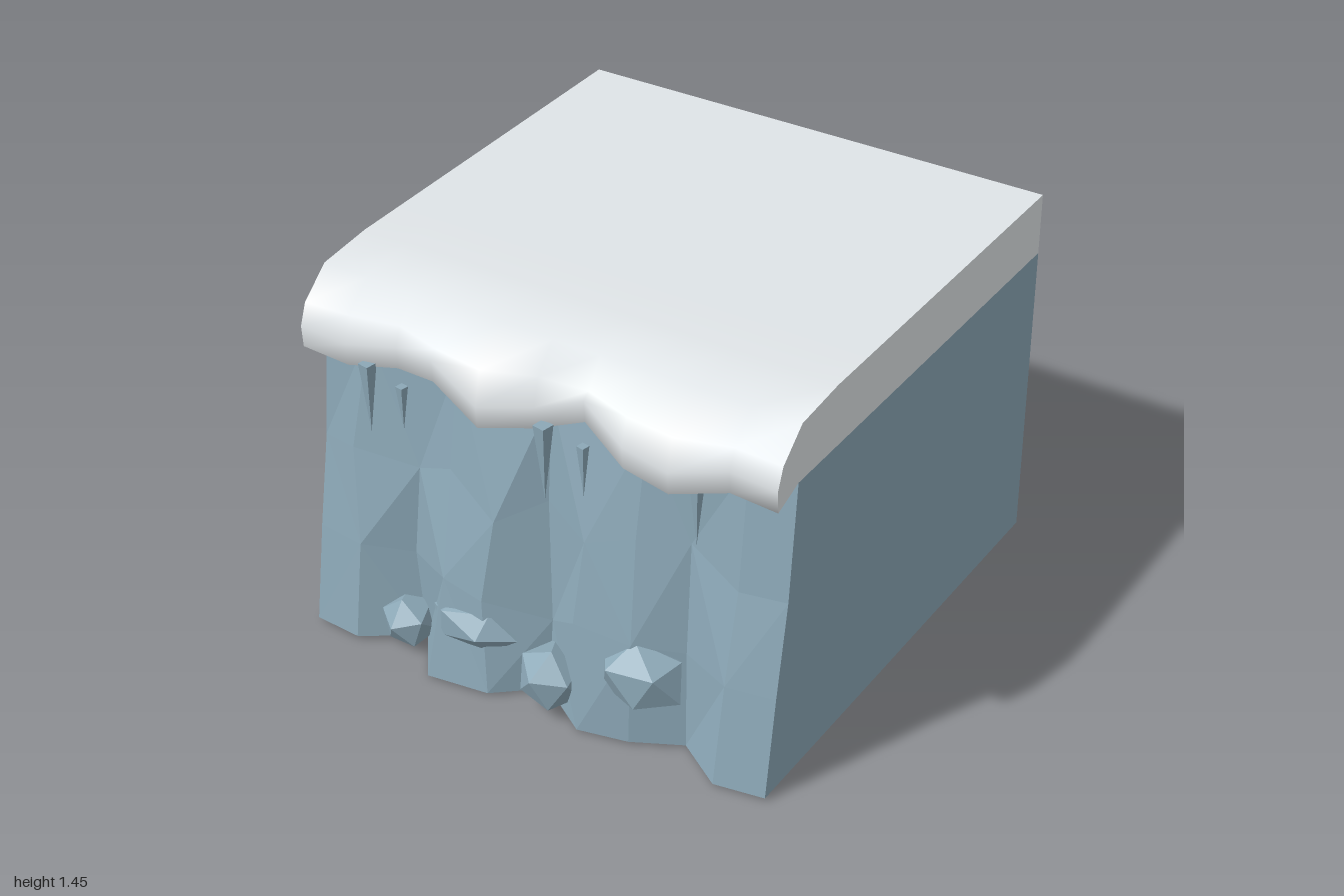
import * as THREE from 'three';

const W = 0.955, BACK = -1, FLOOR = 0.015, LEDGE = 1.215, TOP = 1.455;

const rock = new THREE.MeshStandardMaterial({ color: 0x8ca8b7, flatShading: true });
rock.name = 'blue grey rock';
const snow = new THREE.MeshStandardMaterial({ color: 0xeef3f6 });
snow.name = 'snow white';

function triangles(points) {
  const g = new THREE.BufferGeometry().setFromPoints(points);
  g.computeVertexNormals();
  return g;
}

function part(name, geometry, material) {
  const m = new THREE.Mesh(geometry, material);
  m.name = name;
  return m;
}

const V = (x, y, z) => new THREE.Vector3(x, y, z);

// Cliff face cross-sections from the foot up to the ledge
const cliffRows = [
  {
    x: [-W, -0.765, -0.55, -0.41, -0.17, 0, 0.21, 0.4, 0.58, 0.765, W],
    y: Array(11).fill(FLOOR),
    z: [0.915, 0.93, 0.79, 0.98, 0.95, 0.81, 0.95, 0.91, 0.82, 0.945, 0.915],
  },
  {
    x: [-W, -0.77, -0.58, -0.38, -0.21, 0.01, 0.17, 0.4, 0.57, 0.765, W],
    y: [0.4, 0.39, 0.38, 0.41, 0.38, 0.31, 0.43, 0.42, 0.4, 0.39, 0.4],
    z: [0.855, 0.87, 0.79, 0.9, 0.91, 0.79, 0.9, 0.89, 0.8, 0.875, 0.855],
  },
  {
    x: [-W, -0.82, -0.55, -0.4, -0.18, -0.01, 0.19, 0.38, 0.56, 0.77, W],
    y: [0.76, 0.76, 0.75, 0.81, 0.7, 0.8, 0.75, 0.82, 0.83, 0.74, 0.76],
    z: [0.79, 0.81, 0.78, 0.8, 0.86, 0.765, 0.85, 0.82, 0.755, 0.8, 0.79],
  },
  {
    x: [-W, -0.77, -0.58, -0.39, -0.19, 0, 0.19, 0.38, 0.57, 0.77, W],
    y: Array(11).fill(LEDGE),
    z: Array(11).fill(0.745),
  },
];

function cliffGeometry() {
  const grid = cliffRows.map(r => r.x.map((x, i) => V(x, r.y[i], r.z[i])));
  const t = [];
  // Faceted front with alternating diagonals
  for (let j = 0; j < 3; j++) for (let i = 0; i < 10; i++) {
    const a = grid[j][i], b = grid[j][i + 1], c = grid[j + 1][i + 1], d = grid[j + 1][i];
    if ((i + j) % 2 === 0) t.push(a, b, c, a, c, d);
    else t.push(a, b, d, b, c, d);
  }
  // Underside and top, in strips running to the back
  for (const [row, up] of [[grid[0], false], [grid[3], true]]) {
    for (let i = 0; i < 10; i++) {
      const a = row[i], b = row[i + 1];
      const c = V(b.x, b.y, BACK), d = V(a.x, a.y, BACK);
      if (up) t.push(a, b, c, a, c, d);
      else t.push(a, c, b, a, d, c);
    }
  }
  // Side walls
  for (const s of [-1, 1]) {
    const p = grid.map(r => r[s < 0 ? 0 : 10]).concat(V(s * W, LEDGE, BACK));
    const c = V(s * W, FLOOR, BACK);
    for (let k = 0; k < p.length - 1; k++) {
      if (s > 0) t.push(c, p[k + 1], p[k]);
      else t.push(c, p[k], p[k + 1]);
    }
  }
  // Back wall
  const e = V(-W, FLOOR, BACK), f = V(-W, LEDGE, BACK), g = V(W, LEDGE, BACK), h = V(W, FLOOR, BACK);
  t.push(e, f, g, e, g, h);
  return triangles(t);
}

// Wavy hanging lip of the snow
const lipX = cliffRows[3].x;
const lipY = [1.17, 1.15, 1.18, 1.22, 1.12, 1.145, 1.228, 1.15, 1.13, 1.175, 1.17];
const lipZ = [0.875, 0.865, 0.83, 0.885, 0.915, 0.845, 0.83, 0.895, 0.918, 0.862, 0.872];

const snowProfile = (x, y, z) => [
  V(x, TOP, BACK), V(x, TOP, 0.3), V(x, TOP, 0.5), V(x, 1.435, 0.73),
  V(x, 1.335, z - 0.025), V(x, y + 0.085, z + 0.006), V(x, y, z),
  V(x, y + 0.012, z - 0.03), V(x, LEDGE, 0.745),
];

function addSnow(group) {
  const cols = lipX.map((x, i) => snowProfile(x, lipY[i], lipZ[i]));
  const n = cols[0].length;

  // Smooth blanket rolling over the edge and under the lip
  const index = [];
  for (let i = 0; i < cols.length - 1; i++) for (let j = 0; j < n - 1; j++) {
    const a = i * n + j, b = a + n;
    index.push(a, a + 1, b, b, a + 1, b + 1);
  }
  const blanket = new THREE.BufferGeometry().setFromPoints(cols.flat());
  blanket.setIndex(index);
  blanket.computeVertexNormals();
  group.add(part('snowBlanket', blanket, snow));

  // Flat cut ends and back
  const t = [];
  for (const s of [-1, 1]) {
    const p = [V(s * W, LEDGE, BACK), ...cols[s < 0 ? 0 : 10]];
    const c = p[p.length - 1];
    for (let k = 0; k < p.length - 2; k++) {
      if (s > 0) t.push(c, p[k], p[k + 1]);
      else t.push(c, p[k + 1], p[k]);
    }
  }
  const e = V(-W, LEDGE, BACK), f = V(-W, TOP, BACK), g = V(W, TOP, BACK), h = V(W, LEDGE, BACK);
  t.push(e, f, g, e, g, h);
  group.add(part('snowCutFaces', triangles(t), snow));
}

function boulder(x, y, z, rx, ry, rz, turn) {
  const g = new THREE.IcosahedronGeometry(1, 0);
  g.rotateX(turn);
  g.rotateZ(turn * 1.7);
  g.scale(rx, ry, rz);
  const m = part('boulder', g, rock);
  m.position.set(x, y, z);
  return m;
}

function icicle(x, top, tip, r, z) {
  const g = new THREE.ConeGeometry(r * 1.1, top - tip, 4);
  g.rotateX(Math.PI);
  g.rotateY(0.6);
  const m = part('icicle', g, rock);
  m.position.set(x, (top + tip) / 2, z);
  return m;
}

export function createModel() {
  const model = new THREE.Group();
  model.name = 'snowyCliffBlock';
  model.add(part('cliff', cliffGeometry(), rock));
  addSnow(model);

  // Stones lodged at the foot: centre, radii, turn
  for (const b of [
    [-0.59, 0.105, 0.83, 0.11, 0.107, 0.11, 0.4],
    [-0.27, 0.24, 0.87, 0.19, 0.1, 0.1, 0.9],
    [0.06, 0.145, 0.875, 0.13, 0.13, 0.125, 0.25],
    [0.425, 0.29, 0.855, 0.18, 0.145, 0.12, 1.3],
  ]) model.add(boulder(...b));

  // Icicles under the lip: x, top, tip, radius, z
  for (const c of [
    [-0.69, 1.18, 0.9, 0.029, 0.86],
    [-0.53, 1.15, 0.975, 0.02, 0.88],
    [0.045, 1.185, 0.885, 0.032, 0.865],
    [0.21, 1.165, 0.965, 0.02, 0.875],
    [0.65, 1.16, 0.93, 0.022, 0.87],
  ]) model.add(icicle(...c));
  return model;
}
